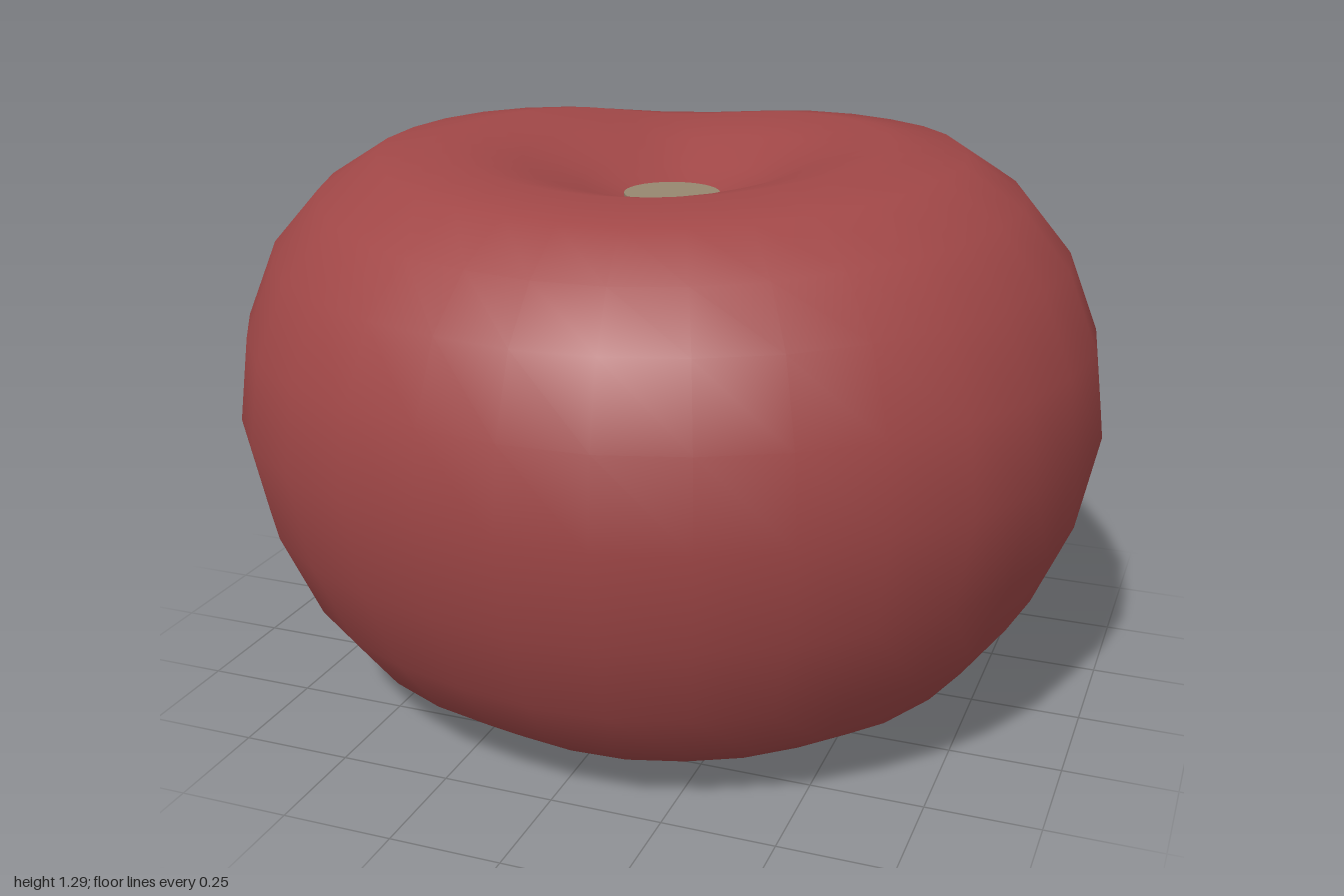
import * as THREE from 'three';
import { mergeVertices } from 'three/addons/utils/BufferGeometryUtils.js';

// Cross-section from the underside dimple up to the stem dimple: [radius, height]
const PROFILE = [
  [0, 0.06], [0.1, 0.045], [0.22, 0.018], [0.36, 0.004], [0.51, 0.02], [0.655, 0.065],
  [0.77, 0.145], [0.87, 0.28], [0.955, 0.475], [1, 0.695], [0.975, 0.885], [0.905, 1.06],
  [0.8, 1.185], [0.665, 1.272], [0.5, 1.295], [0.34, 1.26], [0.21, 1.195], [0.1, 1.155], [0, 1.145],
];

// Uneven outline: radius at 32 equal angles from +x towards +z
const OUTLINE = [
  1, 0.99, 0.994, 1, 0.99, 0.993, 0.99, 0.99, 0.98, 0.97, 0.98, 0.99, 1, 1, 1.01, 1.015,
  1, 0.99, 0.98, 0.972, 0.976, 0.975, 0.986, 0.99, 0.99, 1, 1, 0.996, 0.995, 0.987, 0.982, 0.99,
];

// Height change of the shoulder around the fruit
function shoulderOffset(a) {
  const s = Math.sin(a);
  const dip = Math.exp(-(((a + 1.9) / 0.4) ** 2));
  return -0.025 * s * s - 0.01 * s - 0.025 * dip;
}

function createFruitGeometry() {
  const n = OUTLINE.length;
  let geo = new THREE.LatheGeometry(PROFILE.map(([r, y]) => new THREE.Vector2(r, y)), n);
  const pos = geo.attributes.position;
  for (let i = 0; i < pos.count; i++) {
    const x = pos.getX(i), y = pos.getY(i), z = pos.getZ(i);
    const r = Math.hypot(x, z);
    const a = Math.atan2(z, x);
    const k = OUTLINE[((Math.round((a / (2 * Math.PI)) * n) % n) + n) % n];
    const w = THREE.MathUtils.smoothstep(y, 0.95, 1.27) * THREE.MathUtils.smoothstep(r, 0.08, 0.35);
    pos.setXYZ(i, x * k, y + w * shoulderOffset(a), z * k);
  }
  // Weld the seam so the skin shades smoothly all round
  geo.deleteAttribute('uv');
  geo.deleteAttribute('normal');
  geo = mergeVertices(geo, 1e-4);
  geo.computeVertexNormals();
  return geo;
}

export function createModel() {
  const model = new THREE.Group();
  model.name = 'fruit';

  // Skin
  const skin = new THREE.Mesh(
    createFruitGeometry(),
    new THREE.MeshStandardMaterial({ color: 0xa04747 })
  );
  skin.name = 'skin';
  model.add(skin);

  // Stem scar sitting in the top dimple
  const scar = new THREE.Mesh(
    new THREE.CylinderGeometry(0.11, 0.11, 0.03, 32),
    new THREE.MeshStandardMaterial({ color: 0x968770 })
  );
  scar.name = 'stemScar';
  scar.position.set(-0.005, 1.15, 0);
  model.add(scar);

  return model;
}
